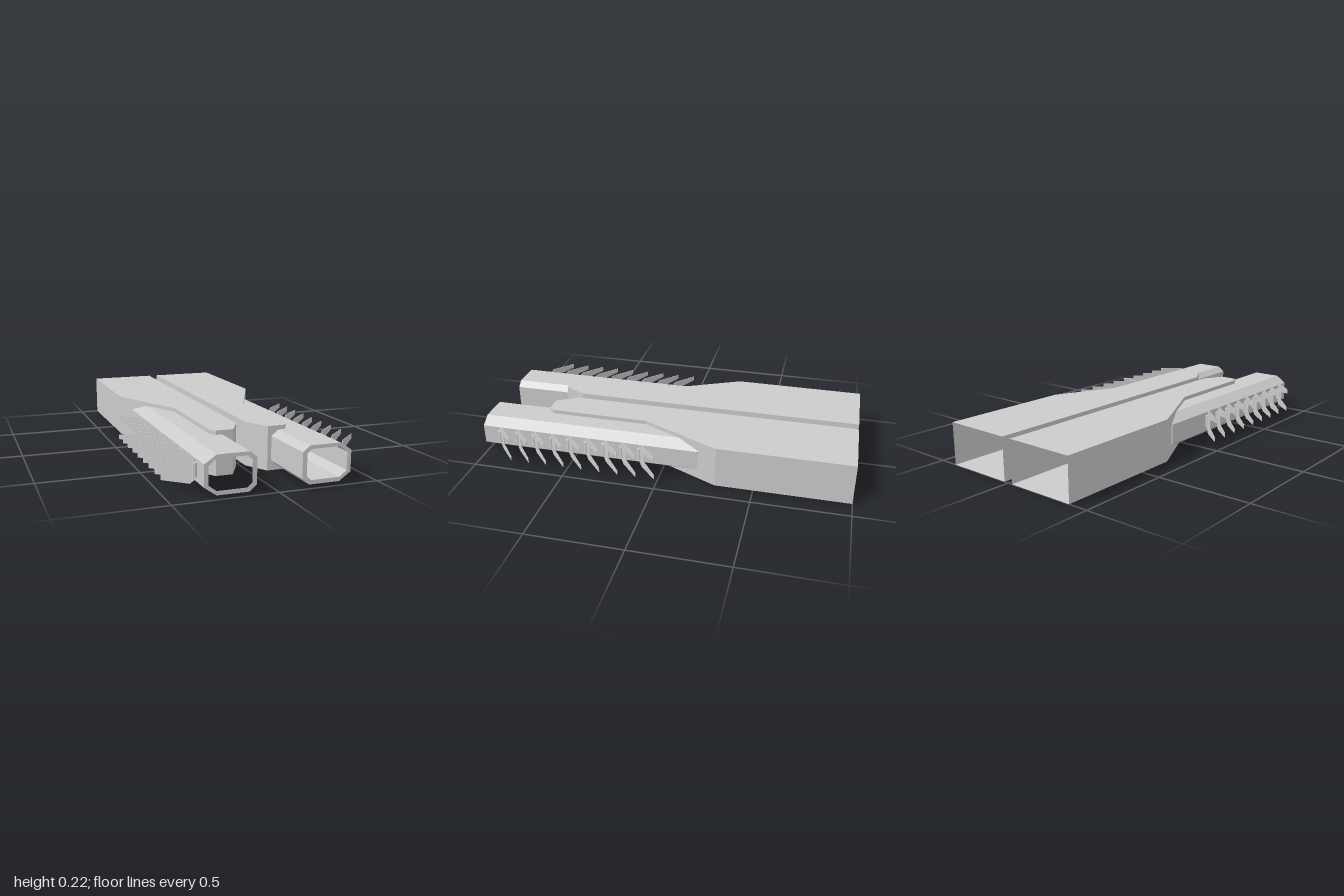
import * as THREE from 'three';
import { mergeGeometries } from 'three/addons/utils/BufferGeometryUtils.js';

const grey = new THREE.MeshStandardMaterial({ color: 0xcccccc, flatShading: true });
const thinGrey = new THREE.MeshStandardMaterial({ color: 0xcccccc, flatShading: true, side: THREE.DoubleSide });

const HEIGHT = 0.222;

// Outlines for the +x side; every x is multiplied by the side sign.
// Plan outline (x, z) of the housing, from the inner back corner round to the inner nose
const HOUSING = [[0.026, -1], [0.396, -1], [0.396, -0.3], [0.2, 0.12], [0.2, 0.645], [0.177, 0.677], [0.09, 0.677], [0.026, 0.56]];
// Front outlines (x, y) of the barrel and its bore
const BARREL = [[0.145, 0.02], [0.298, 0.02], [0.355, 0.06], [0.355, 0.163], [0.298, 0.201], [0.145, 0.201], [0.11, 0.172], [0.11, 0.05]];
const BORE = [[0.155, 0.04], [0.298, 0.04], [0.335, 0.068], [0.335, 0.155], [0.298, 0.184], [0.155, 0.184], [0.132, 0.163], [0.132, 0.06]];
// Forked fin (sideways reach, height from its middle)
const FIN = [[0, -0.048], [0.016, -0.066], [0.12, -0.066], [0.12, -0.042], [0.045, -0.024],
  [0.045, 0.024], [0.12, 0.042], [0.12, 0.066], [0.016, 0.066], [0, 0.048]];

function makeShape(points, side, stretch = 1) {
  return new THREE.Shape(points.map(([x, y]) => new THREE.Vector2(x * side * stretch, y)));
}

function addMesh(parent, name, geometry, material) {
  const mesh = new THREE.Mesh(geometry, material);
  mesh.name = name;
  parent.add(mesh);
  return mesh;
}

// Hollow housing: flat top and floor, upright walls, open at the back
function housingGeometry(side) {
  const plate = (y, up) => {
    const shape = new THREE.Shape(HOUSING.map(([x, z]) => new THREE.Vector2(x * side, up ? -z : z)));
    return new THREE.ShapeGeometry(shape).rotateX(up ? -Math.PI / 2 : Math.PI / 2).translate(0, y, 0);
  };
  const parts = [plate(HEIGHT, true), plate(0, false)];
  for (let i = 1; i < HOUSING.length; i++) {
    const [ax, az] = HOUSING[i];
    const [bx, bz] = HOUSING[(i + 1) % HOUSING.length];
    const dx = (bx - ax) * side, dz = bz - az;
    const wall = new THREE.PlaneGeometry(Math.hypot(dx, dz), HEIGHT);
    // turn the wall along its edge, facing outwards on either side
    wall.rotateY(Math.atan2(-dz, dx) + (side > 0 ? Math.PI : 0));
    wall.translate((ax + bx) / 2 * side, HEIGHT / 2, (az + bz) / 2);
    parts.push(wall);
  }
  return mergeGeometries(parts);
}

function createSide(side) {
  const group = new THREE.Group();
  group.name = side > 0 ? 'leftUnit' : 'rightUnit';
  addMesh(group, 'housing', housingGeometry(side), thinGrey);

  // Octagonal barrel with a bore that is stopped at its inner end
  const start = -0.2;
  const shape = makeShape(BARREL, side);
  shape.holes.push(makeShape(BORE, side));
  const barrel = new THREE.ExtrudeGeometry(shape, { depth: 1 - start, bevelEnabled: false });
  addMesh(group, 'barrel', barrel, grey).position.z = start;
  addMesh(group, 'boreEnd', new THREE.ShapeGeometry(makeShape(BORE, side)), thinGrey).position.z = start;

  // Row of swept-back forked fins, each on a small hinge pin
  const sweep = Math.atan2(0.11, 0.12);
  const finShape = makeShape(FIN, side, 1 / Math.cos(sweep));
  const finGeometry = new THREE.ExtrudeGeometry(finShape, { depth: 0.003, bevelEnabled: false }).translate(0, 0, -0.0015);
  const pinGeometry = new THREE.CylinderGeometry(0.0125, 0.0125, 0.065, 8);
  for (let i = 0; i < 9; i++) {
    const hinge = new THREE.Group();
    hinge.name = 'finHinge';
    hinge.position.set(0.363 * side, 0.113, 0.11 + i * 0.0988);
    addMesh(hinge, 'hingePin', pinGeometry, grey);
    addMesh(hinge, 'forkedFin', finGeometry, grey).rotation.y = sweep * side;
    group.add(hinge);
  }
  return group;
}

export function createModel() {
  const model = new THREE.Group();
  model.name = 'twinBarrelUnit';
  model.add(createSide(1), createSide(-1));
  return model;
}
